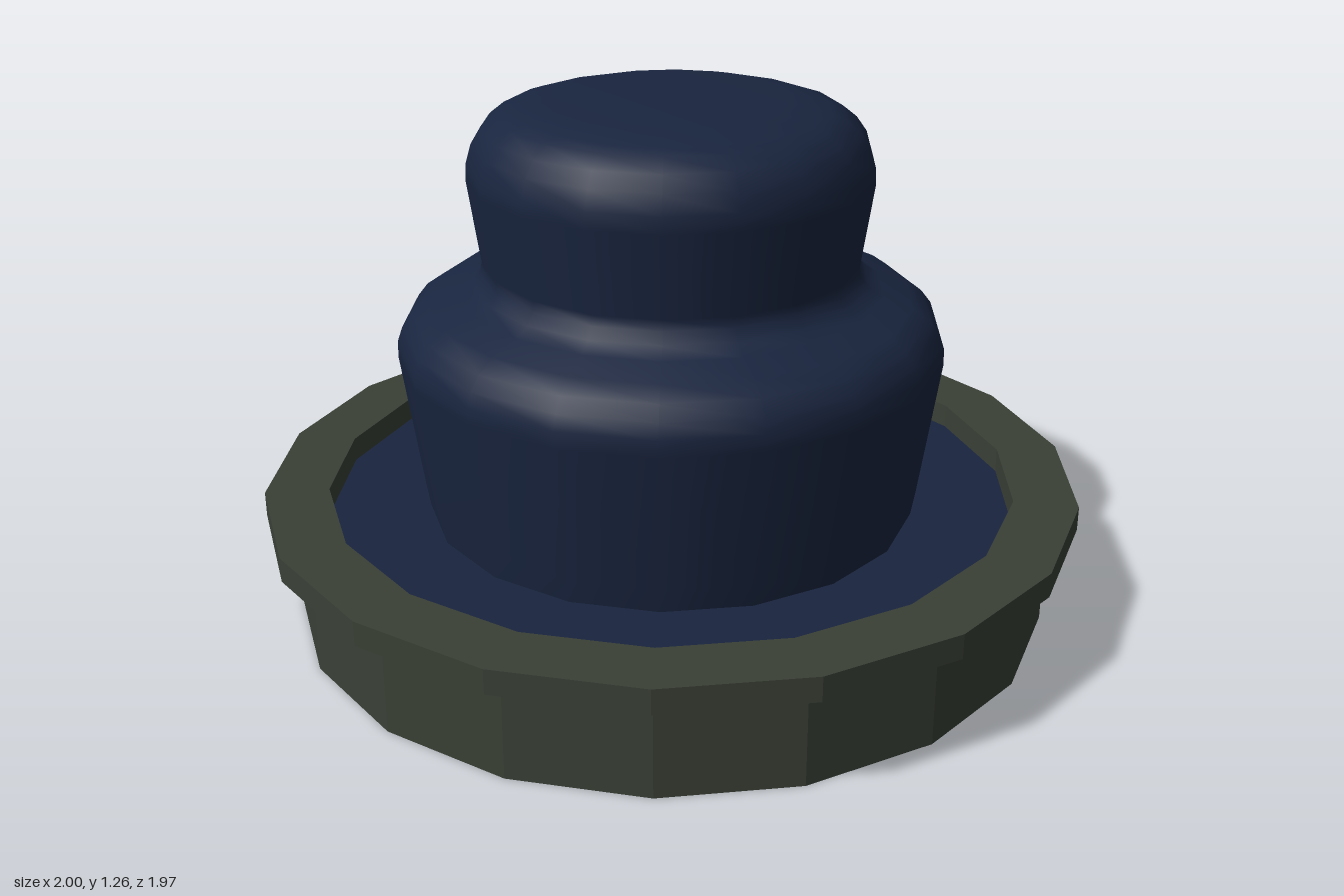
import * as THREE from 'three';

const SIDES = 18;

// Revolves an [radius, height] profile, with a corner on the x axis
function turned(name, profile, material) {
  const points = profile.map(([r, y]) => new THREE.Vector2(r, y));
  const mesh = new THREE.Mesh(new THREE.LatheGeometry(points, SIDES, Math.PI / 2), material);
  mesh.name = name;
  return mesh;
}

export function createModel() {
  const model = new THREE.Group();
  model.name = 'steppedKnob';

  const green = new THREE.MeshStandardMaterial({ color: 0x3a4036, flatShading: true, side: THREE.DoubleSide });
  const navy = new THREE.MeshStandardMaterial({ color: 0x19253f, side: THREE.DoubleSide });
  const navyFlat = new THREE.MeshStandardMaterial({ color: 0x19253f, flatShading: true, side: THREE.DoubleSide });

  // Thin outer skirt, open at the bottom
  model.add(turned('skirt', [[0.93, 0], [0.93, 0.25]], green));

  // Overhanging rim with a square section
  model.add(turned('rim', [[0.845, 0.25], [1, 0.25], [1, 0.31], [0.845, 0.31], [0.845, 0.25]], green));

  // Recessed bottom plate with a central socket
  model.add(turned('bottomPlate', [[0.11, 0.25], [0.11, 0.06], [0.845, 0.06]], green));

  // Inner drum whose top is the floor inside the rim
  model.add(turned('drum', [[0.845, 0.06], [0.845, 0.25], [0, 0.25]], navyFlat));

  // Two-tier rounded body
  model.add(turned('body', [
    [0.6, 0.25], [0.61, 0.31], [0.658, 0.65], [0.657, 0.69], [0.645, 0.725],
    [0.62, 0.757], [0.58, 0.785], [0.51, 0.808], [0.475, 0.83], [0.455, 0.855],
    [0.451, 0.88], [0.48, 1.08], [0.478, 1.12], [0.465, 1.165], [0.44, 1.2],
    [0.405, 1.228], [0.37, 1.24], [0.28, 1.262], [0, 1.262],
  ], navy));

  return model;
}
